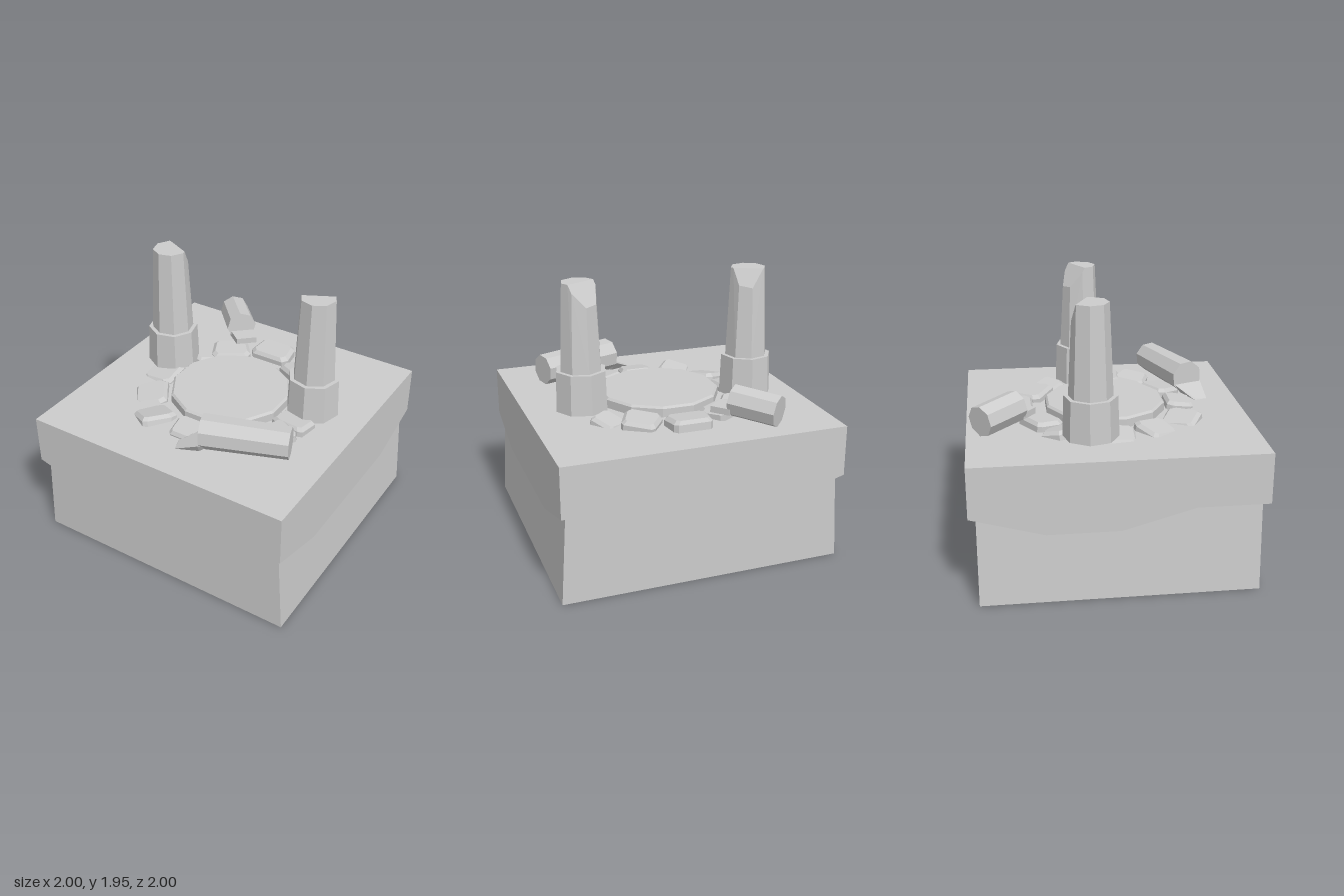
import * as THREE from 'three';
import { ConvexGeometry } from 'three/addons/geometries/ConvexGeometry.js';

const material = new THREE.MeshStandardMaterial({ color: 0xcccccc, flatShading: true });
const V = (x, y, z) => new THREE.Vector3(x, y, z);

function add(parent, name, geometry) {
  const mesh = new THREE.Mesh(geometry, material);
  mesh.name = name;
  parent.add(mesh);
  return mesh;
}

const hull = (points) => new ConvexGeometry(points);

// Turf cap: flat top, wavy skirt and the underside joining it to the block
function turfGeometry() {
  const hi = 0.64, lo = 0.5, rim = [];
  const front = [[-1, hi], [-0.5, lo], [0, lo], [0.5, hi]];
  const right = [[1, hi], [0.53, lo], [0, lo], [-0.53, lo]];
  const back = [[1, hi], [0.5, hi], [0, lo], [-0.5, lo]];
  const left = [[-1, hi], [-0.5, lo], [0, lo], [0.5, hi]];
  front.forEach(([t, y]) => rim.push(V(t, y, 1)));
  right.forEach(([t, y]) => rim.push(V(1, y, t)));
  back.forEach(([t, y]) => rim.push(V(t, y, -1)));
  left.forEach(([t, y]) => rim.push(V(-1, y, t)));

  const pos = [];
  const quad = (a, b, c, d) => [a, b, c, a, c, d].forEach((p) => pos.push(p.x, p.y, p.z));
  const top = (p) => V(p.x, 1, p.z);
  const inner = (p) => V(p.x * 0.93, p.y, p.z * 0.93);
  rim.forEach((p, i) => {
    const q = rim[(i + 1) % rim.length];
    quad(p, q, top(q), top(p));
    quad(p, inner(p), inner(q), q);
  });
  quad(V(-1, 1, 1), V(1, 1, 1), V(1, 1, -1), V(-1, 1, -1));
  const g = new THREE.BufferGeometry();
  g.setAttribute('position', new THREE.Float32BufferAttribute(pos, 3));
  g.computeVertexNormals();
  return g;
}

// Eight-sided ring of points
const ring = (r, y, rot) => Array.from({ length: 8 }, (_, i) => {
  const a = rot + (i * Math.PI) / 4;
  return V(r * Math.cos(a), y, r * Math.sin(a));
});

// Tapered shaft whose top is broken off along a sloping plane
function brokenShaft(r0, r1, y0, y1, rot, cut) {
  const points = ring(r0, y0, rot);
  const upper = ring(r1, y1, rot);
  const beyond = (p) => p.x * cut.nx + p.z * cut.nz - cut.offset;
  upper.forEach((p, i) => {
    const q = upper[(i + 1) % 8];
    const s = beyond(p), t = beyond(q);
    points.push(V(p.x, y1 - Math.max(0, s) * cut.slope, p.z));
    if (s * t < 0) points.push(p.clone().lerp(q, s / (s - t)));
  });
  return hull(points);
}

function pillar(name, x, z, height, rot, cut) {
  const group = new THREE.Group();
  group.name = name;
  group.position.set(x, 0, z);
  add(group, 'pillarBase', hull([...ring(0.192, 1.03, rot), ...ring(0.182, 1.315, rot)]));
  add(group, 'pillarShaft', brokenShaft(0.152, 0.125, 1.3, height, rot, cut));
  return group;
}

// Lying shaft between two points, with a low splinter left at the broken end
function fallenColumn(name, from, to, r0, r1, splinter) {
  const group = new THREE.Group();
  group.name = name;
  const dir = to.clone().sub(from);
  const shaft = add(group, 'fallenShaft', hull([...ring(r0, 0, 0.15), ...ring(r1, dir.length(), 0.15)]));
  shaft.position.copy(from);
  shaft.quaternion.setFromUnitVectors(V(0, 1, 0), dir.normalize());
  add(group, 'splinter', hull(splinter));
  return group;
}

// Wedge-shaped paving stone with cut outer corners and a bevelled top
function stoneGeometry(width, depth, h) {
  const w = width / 2, d = depth / 2;
  const outline = [[-w * 0.72, -d], [w * 0.72, -d], [w * 0.88, -d * 0.75], [w, d * 0.6],
    [w * 0.8, d], [-w * 0.8, d], [-w, d * 0.6], [-w * 0.88, -d * 0.75]];
  return hull(outline.flatMap(([x, z]) => [
    V(x, -0.06, z), V(x, h - 0.025, z), V(x * 0.82, h, z * 0.82),
  ]));
}

export function createModel() {
  const model = new THREE.Group();
  model.name = 'ruinOnBlock';

  // Earth block, narrowing upwards across its width
  const corners = [];
  for (const sx of [-1, 1]) for (const sz of [-1, 1]) {
    corners.push(V(sx, 0, sz * 0.95), V(sx * 0.94, 0.98, sz * 0.95));
  }
  add(model, 'earthBlock', hull(corners));
  add(model, 'turfCap', turfGeometry());

  // Twelve-sided centre slab with a slight bevel
  const slab = new THREE.Group();
  slab.name = 'centreSlab';
  const lower = new THREE.CylinderGeometry(0.44, 0.44, 0.07, 12, 1);
  const upper = new THREE.CylinderGeometry(0.425, 0.44, 0.015, 12, 1);
  for (const [g, y, name] of [[lower, 1.025, 'slabBody'], [upper, 1.0675, 'slabBevel']]) {
    const m = add(slab, name, g);
    m.position.y = y;
    m.rotation.y = Math.PI / 12;
  }
  model.add(slab);

  // Standing pillars
  model.add(pillar('rightPillar', -0.617, -0.163, 1.95, 0.13,
    { nx: 0.43, nz: -0.9, offset: 0.06, slope: 2.2 }));
  model.add(pillar('leftPillar', 0.61, -0.12, 1.93, -0.13,
    { nx: -0.45, nz: -0.89, offset: 0.02, slope: 1.6 }));

  // Fallen columns
  model.add(fallenColumn('frontFallenColumn', V(0.18, 1.148, 0.65), V(0.75, 1.145, 0.45), 0.122, 0.112, [
    V(0.01, 1.02, 0.68), V(0.04, 1.02, 0.775), V(0.02, 1.03, 0.69),
    V(0.15, 1.1, 0.55), V(0.215, 1.1, 0.76), V(0.17, 1.03, 0.6), V(0.2, 1.03, 0.72),
    V(0.3, 1.1, 0.56), V(0.3, 1.1, 0.68),
  ]));
  const splinter = [];
  for (const [x, z] of [[-0.38, -0.6], [-0.25, -0.73], [-0.155, -0.62], [-0.27, -0.515]]) {
    splinter.push(V(x, 1.075, z), V(x, 1.12, z));
  }
  model.add(fallenColumn('backFallenColumn', V(-0.31, 1.155, -0.65), V(-0.535, 1.13, -0.9), 0.112, 0.11, splinter));

  // Ring of stones: bearing clockwise from the back, radius, width, depth, height, radial tilt, sideways tilt
  const stones = [
    [0, 0.63, 0.32, 0.21, 0.07, 0.08, 0],
    [31, 0.59, 0.27, 0.24, 0.06, -0.05, 0.1],
    [52, 0.63, 0.22, 0.2, 0.03, 0.05, 0.3],
    [80, 0.6, 0.2, 0.22, 0.02, 0, 0],
    [99, 0.585, 0.2, 0.26, 0.06, 0, 0.06],
    [117, 0.61, 0.25, 0.22, 0.06, 0.06, -0.12],
    [148, 0.54, 0.27, 0.22, 0.06, -0.1, 0],
    [180, 0.545, 0.25, 0.2, 0.05, -0.15, 0],
    [212, 0.6, 0.24, 0.26, 0.03, 0.08, -0.25],
    [238, 0.58, 0.26, 0.24, 0.03, -0.2, 0.12],
    [267, 0.58, 0.26, 0.25, 0.03, -0.12, 0.1],
    [307, 0.59, 0.2, 0.25, 0.04, 0.05, -0.22],
    [328, 0.57, 0.3, 0.21, 0.06, 0.06, 0],
  ];
  const ringGroup = new THREE.Group();
  ringGroup.name = 'stoneRing';
  for (const [deg, r, w, d, h, tilt, roll] of stones) {
    const a = THREE.MathUtils.degToRad(deg);
    const stone = add(ringGroup, 'pavingStone', stoneGeometry(w, d, h));
    stone.position.set(r * Math.sin(a), 1, -r * Math.cos(a));
    stone.rotation.set(tilt, -a, roll, 'YXZ');
  }
  model.add(ringGroup);
  return model;
}
